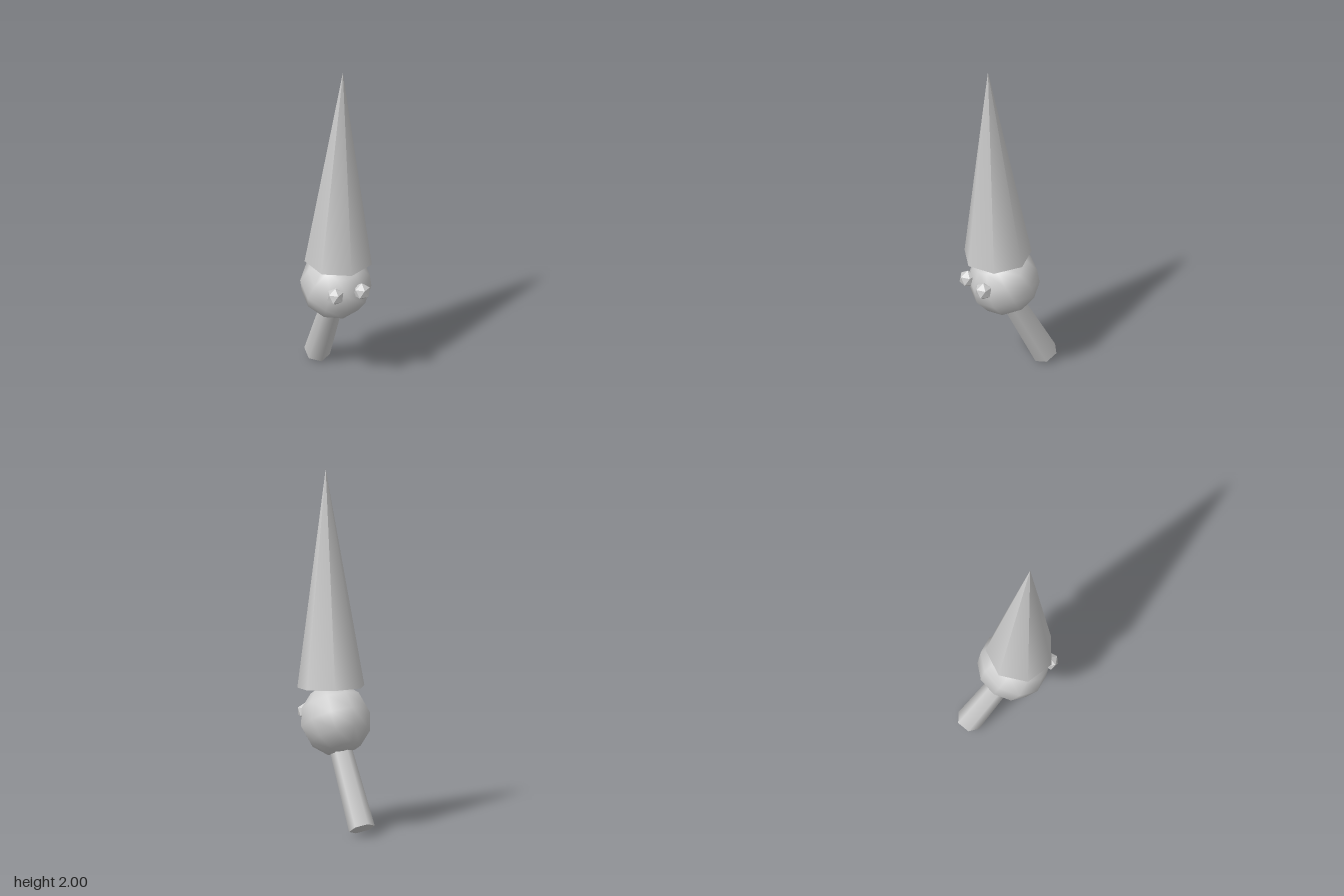
import * as THREE from 'three';

export function createModel() {
  const group = new THREE.Group();
  const grey = new THREE.MeshStandardMaterial({ color: 0xcccccc });
  grey.name = 'plainGrey';
  // Eyes are faceted by their geometry, whose normals are already per face
  const add = (name, geometry, x, y, z, tilt = 0) => {
    const mesh = new THREE.Mesh(geometry, grey);
    mesh.name = name;
    mesh.position.set(x, y, z);
    mesh.rotation.x = tilt;
    group.add(mesh);
    return mesh;
  };
  const lean = THREE.MathUtils.degToRad(28);

  // Round head, leaning forward with the body
  add('head', new THREE.SphereGeometry(0.2, 10, 6).rotateY(Math.PI / 2), 0, 0.61, 0.052, lean);

  // Tall seven-sided pointed hat, origin at its rim
  const hatHeight = 1.215;
  const hat = new THREE.ConeGeometry(0.191, hatHeight, 7).translate(0, hatHeight / 2, 0);
  add('hat', hat, 0, 0.786, 0.094, 0.051);

  // Six-sided tapered body, origin at its foot
  const bodyLength = 0.49;
  const body = new THREE.CylinderGeometry(0.061, 0.073, bodyLength, 6).translate(0, bodyLength / 2, 0);
  add('body', body, 0, 0.037, -0.222, lean);

  // Faceted eyes, one corner pointing up
  for (const [name, side] of [['leftEye', 1], ['rightEye', -1]]) {
    const eye = new THREE.IcosahedronGeometry(0.05, 0).rotateX(-Math.atan((1 + Math.sqrt(5)) / 2));
    add(name, eye, side * 0.079, 0.638, 0.238);
  }
  return group;
}
